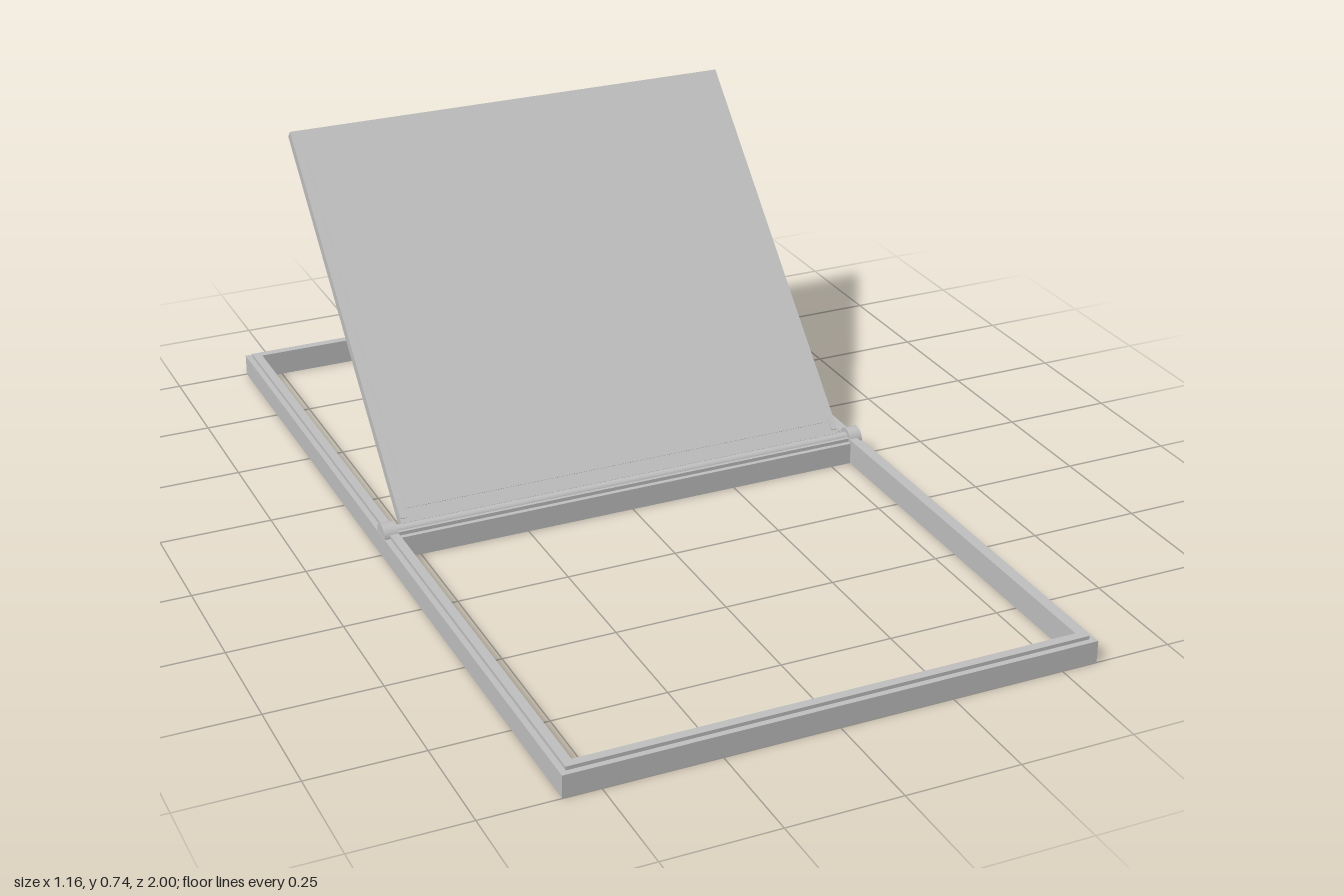
import * as THREE from 'three';

const grey = new THREE.MeshStandardMaterial({ color: 0xc0c0c0 });
grey.name = 'light grey';

function add(parent, name, geometry, x = 0, y = 0, z = 0) {
  const mesh = new THREE.Mesh(geometry, grey);
  mesh.name = name;
  mesh.position.set(x, y, z);
  parent.add(mesh);
  return mesh;
}

const box = (w, h, d) => new THREE.BoxGeometry(w, h, d);

// Rectangular ring lying flat, given half sizes and height
function ring(x, z, innerX, innerZ, height) {
  const rect = (s, a, b) => s.moveTo(-a, -b).lineTo(a, -b).lineTo(a, b).lineTo(-a, b).closePath();
  const shape = rect(new THREE.Shape(), x, z);
  shape.holes.push(rect(new THREE.Path(), innerX, innerZ));
  return new THREE.ExtrudeGeometry(shape, { depth: height, bevelEnabled: false }).rotateX(-Math.PI / 2);
}

export function createModel() {
  const model = new THREE.Group();
  model.name = 'frameWithTiltedPanel';

  // Long base frame with a narrow raised lip along its inner edge
  add(model, 'baseFrame', ring(0.58, 1, 0.547, 0.967, 0.05));
  add(model, 'innerLip', ring(0.567, 0.987, 0.547, 0.967, 0.008), 0, 0.05);

  // Cross bar under the hinge, with a matching lip at the front
  add(model, 'crossBar', box(1.1, 0.05, 0.06), 0, 0.025, 0);
  add(model, 'crossBarLip', box(1.1, 0.008, 0.014), 0, 0.054, 0.012);

  // Hinge rod and its rounded end knuckles
  const rod = new THREE.CylinderGeometry(0.012, 0.012, 1.1, 20).rotateZ(Math.PI / 2);
  add(model, 'hingeRod', rod, 0, 0.054, 0);
  for (const side of [-1, 1]) {
    const knuckle = new THREE.CylinderGeometry(0.025, 0.025, 0.03, 28).rotateZ(Math.PI / 2);
    add(model, 'hingeKnuckle', knuckle, side * 0.564, 0.05, 0);
  }

  // Panel hinged at the cross bar and leaning back 45 degrees
  const panel = new THREE.Group();
  panel.name = 'tiltedPanel';
  panel.position.set(0, 0.058, -0.01);
  panel.rotation.x = -Math.PI / 4;
  model.add(panel);
  add(panel, 'panelBoard', box(1.064, 0.947, 0.023), 0, 0.4735, 0);
  add(panel, 'panelInset', box(1.022, 0.885, 0.025), 0, 0.4735, 0);
  for (const side of [-1, 1]) {
    add(panel, 'hingeTab', box(0.014, 0.03, 0.028), side * 0.524, 0.025, 0);
  }
  return model;
}
